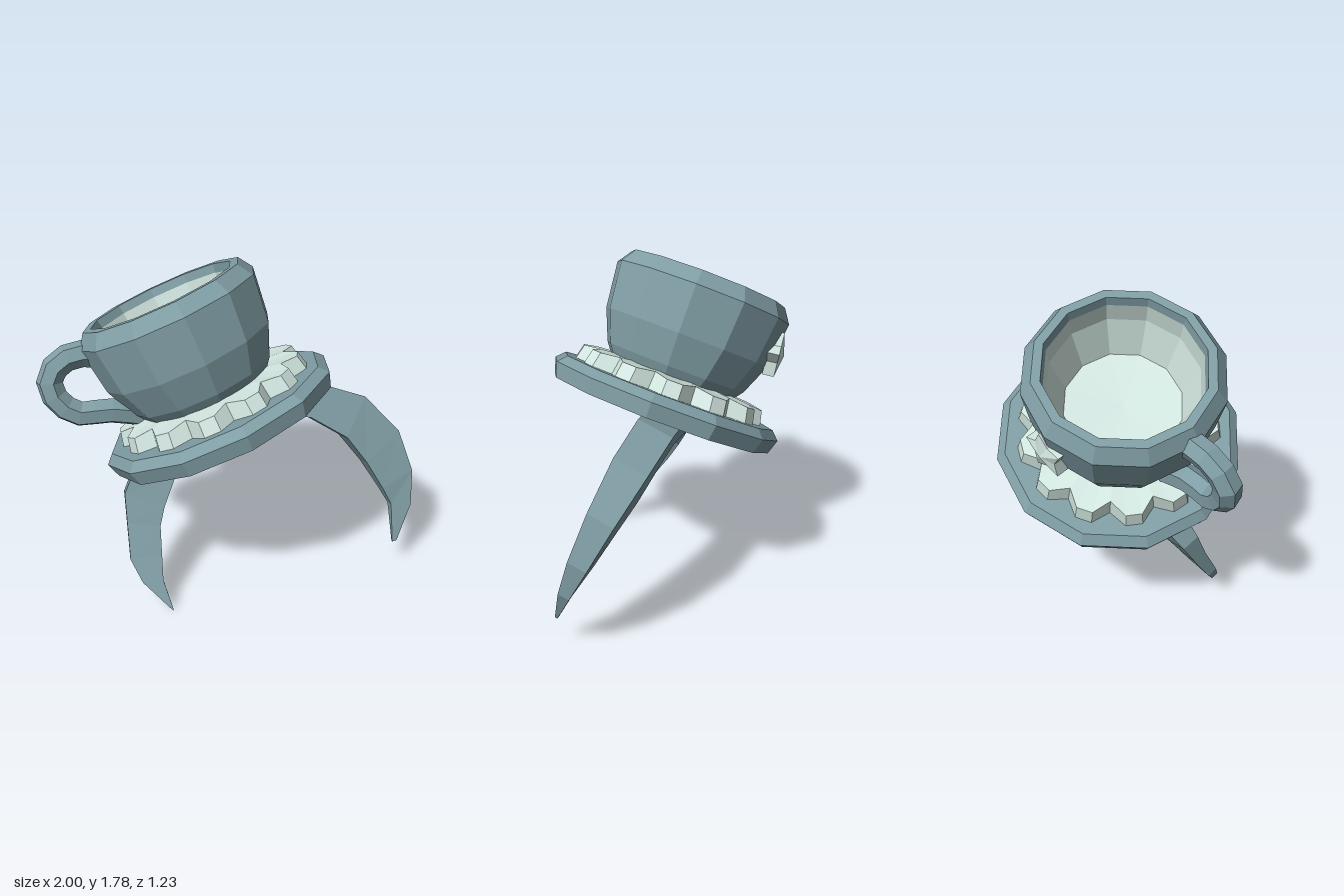
import * as THREE from 'three';

const teal = new THREE.MeshStandardMaterial({ color: 0x7f9da4 });
teal.name = 'dusty teal';
const cream = new THREE.MeshStandardMaterial({ color: 0xd2e6e0 });
cream.name = 'pale cream';

// Faceted mesh: split every face so normals stay flat
function part(name, geometry, material) {
  const g = geometry.index ? geometry.toNonIndexed() : geometry;
  g.computeVertexNormals();
  const mesh = new THREE.Mesh(g, material);
  mesh.name = name;
  return mesh;
}

function lathe(name, profile, material) {
  const pts = profile.map(([r, h]) => new THREE.Vector2(r, h));
  return part(name, new THREE.LatheGeometry(pts, 12), material);
}

// Disc of frosting under the cup, with blunt lobes and narrow notches
function frostingGeometry() {
  const n = 39;
  const g = new THREE.CylinderGeometry(0.5, 0.525, 0.1, n, 1);
  const p = g.attributes.position;
  for (let i = 0; i < p.count; i++) {
    const x = p.getX(i), z = p.getZ(i);
    if (Math.hypot(x, z) < 0.01) {
      if (p.getY(i) > 0) p.setY(i, 0.09);
      continue;
    }
    const k = Math.round(Math.atan2(x, z) / (Math.PI * 2 / n)) + n;
    const notch = k % 3 === 0;
    const s = notch ? 0.88 : 1.02;
    p.setXYZ(i, x * s, p.getY(i) + (notch ? 0.012 : 0), z * s);
  }
  return g;
}

// Puffy five-pointed star facing +z
function starGeometry(radius, depth) {
  const pos = [];
  const at = (i) => {
    const r = i % 2 ? radius * 0.6 : radius;
    const a = Math.PI / 2 + i * Math.PI / 5;
    return [r * Math.cos(a), r * Math.sin(a)];
  };
  for (let i = 0; i < 10; i++) {
    const a = at(i), b = at(i + 1), m = depth * 0.4;
    pos.push(0, 0, depth, ...a, m, ...b, m);
    pos.push(...a, m, ...a, -depth, ...b, m);
    pos.push(...b, m, ...a, -depth, ...b, -depth);
    pos.push(0, 0, -depth, ...b, -depth, ...a, -depth);
  }
  const g = new THREE.BufferGeometry();
  g.setAttribute('position', new THREE.Float32BufferAttribute(pos, 3));
  return g;
}

// Leaning, tapered headband: each row is outer x, y, inner x, y, half width
function headbandGeometry() {
  const rows = [
    [-0.40, 0.00, -0.40, 0.01, 0.004],
    [-0.55, 0.14, -0.44, 0.14, 0.02],
    [-0.605, 0.25, -0.435, 0.26, 0.028],
    [-0.605, 0.42, -0.43, 0.39, 0.038],
    [-0.605, 0.56, -0.40, 0.48, 0.05],
    [-0.53, 0.70, -0.33, 0.62, 0.065],
    [-0.38, 0.81, -0.20, 0.755, 0.08],
    [-0.10, 0.92, 0.00, 0.86, 0.09],
    [0.25, 1.015, 0.22, 0.89, 0.095],
    [0.46, 1.035, 0.42, 0.865, 0.095],
    [0.73, 0.945, 0.62, 0.745, 0.09],
    [0.92, 0.755, 0.73, 0.605, 0.07],
    [0.995, 0.54, 0.82, 0.46, 0.05],
    [0.985, 0.36, 0.87, 0.37, 0.03],
    [0.90, 0.17, 0.875, 0.165, 0.007],
  ];
  const pos = [], index = [];
  rows.forEach(([ox, oy, ix, iy, w], i) => {
    // The right leg sweeps forward in a curve, the left one runs straight
    const lean = (y) => -0.1 + (1 - y) * (i < 8 ? 0.3 + 0.23 * (1 - y) : 0.43);
    const zo = lean(oy), zi = lean(iy);
    const wy = w * 0.41, wz = w * 0.92;
    pos.push(ox, oy + wy, zo + wz, ox, oy - wy, zo - wz);
    pos.push(ix, iy - wy, zi - wz, ix, iy + wy, zi + wz);
    if (i === rows.length - 1) return;
    for (let k = 0; k < 4; k++) {
      const a = i * 4 + k, a1 = i * 4 + (k + 1) % 4;
      index.push(a, a + 4, a1, a + 4, a1 + 4, a1);
    }
  });
  const e = (rows.length - 1) * 4;
  index.push(0, 1, 2, 0, 2, 3, e, e + 2, e + 1, e, e + 3, e + 2);
  const g = new THREE.BufferGeometry();
  g.setAttribute('position', new THREE.Float32BufferAttribute(pos, 3));
  g.setIndex(index);
  return g;
}

export function createModel() {
  const model = new THREE.Group();
  model.name = 'teacupHeadband';
  model.add(part('headband', headbandGeometry(), teal));

  // Saucer and cup share one tilted axis
  const hat = new THREE.Group();
  hat.name = 'tiltedTeacup';
  hat.position.set(-0.068, 0.945, 0.004);
  const axis = new THREE.Vector3(-0.367, 0.893, -0.255).normalize();
  hat.quaternion.setFromUnitVectors(new THREE.Vector3(0, 1, 0), axis);
  hat.rotateY(0.12);
  model.add(hat);

  hat.add(lathe('saucer', [[0, -0.045], [0.62, -0.045], [0.645, 0.035], [0.6, 0.08], [0, 0.07]], teal));

  const frosting = part('frosting', frostingGeometry(), cream);
  frosting.position.y = 0.107;
  hat.add(frosting);

  // Cup shell, with a bevelled rim and a pale inside
  const cup = new THREE.Group();
  cup.name = 'teacup';
  cup.position.set(-0.012, 0.015, 0.012);
  hat.add(cup);
  cup.add(lathe('cupShell', [[0, 0.09], [0.32, 0.1], [0.395, 0.2], [0.465, 0.37],
    [0.493, 0.62], [0.44, 0.697], [0.395, 0.697], [0.385, 0.65]], teal));
  cup.add(lathe('cupInside', [[0.385, 0.65], [0.375, 0.55], [0.3, 0.35], [0, 0.33]], cream));

  // Star ornament on the back of the cup
  const star = part('star', starGeometry(0.125, 0.045), cream);
  star.position.set(0.01, 0.45, -0.482);
  star.rotation.set(0.12, Math.PI, 0.35);
  cup.add(star);

  // Looped cup handle
  const path = new THREE.CatmullRomCurve3([
    [-0.68, 1.315, -0.08], [-0.77, 1.325, -0.08], [-0.875, 1.295, -0.065], [-0.935, 1.21, -0.04],
    [-0.905, 1.105, -0.01], [-0.80, 1.03, 0.01], [-0.66, 1.035, 0.01], [-0.48, 0.995, 0],
  ].map((p) => new THREE.Vector3(...p)));
  model.add(part('handle', new THREE.TubeGeometry(path, 11, 0.069, 6), teal));

  return model;
}
